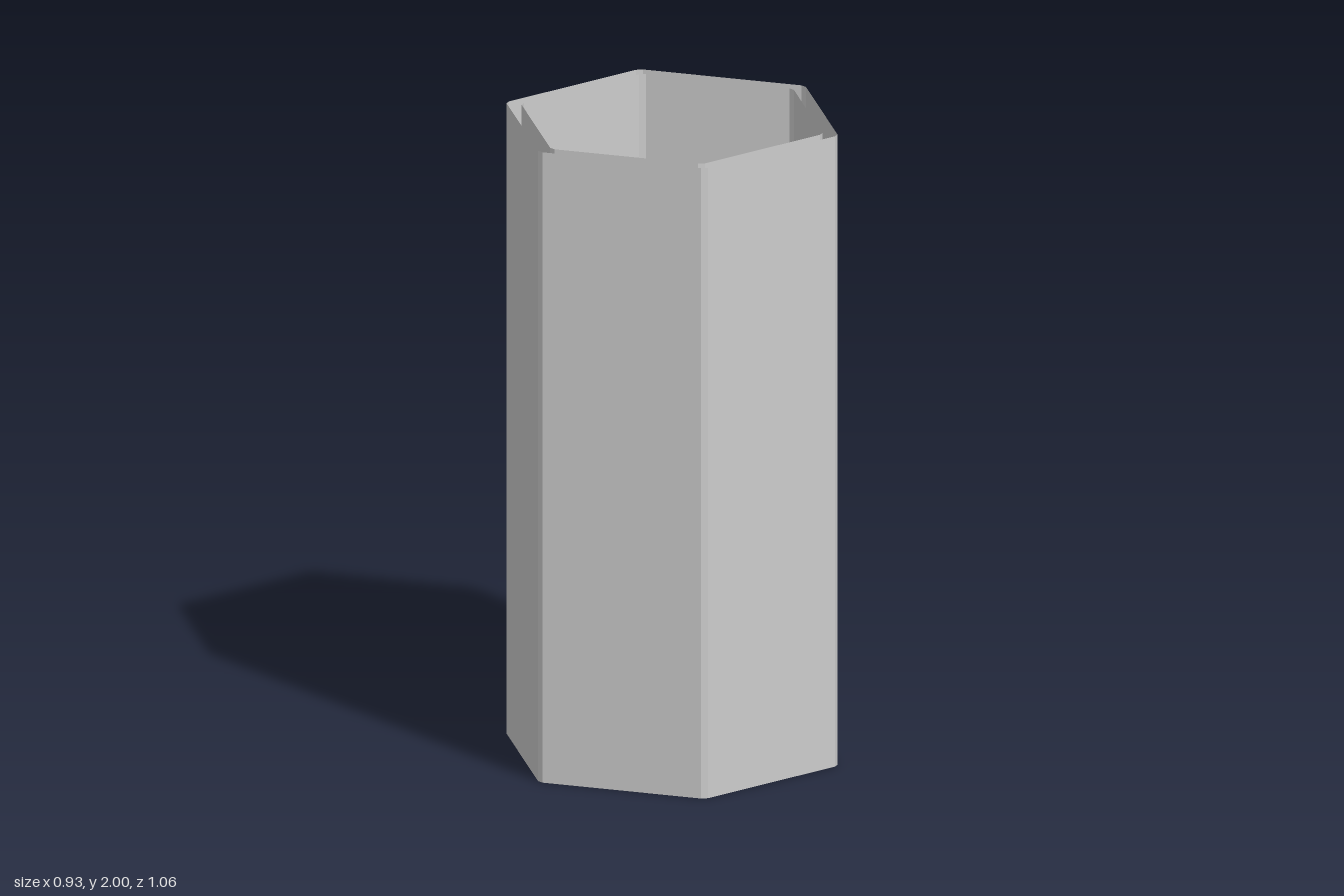
import * as THREE from 'three';

const HEIGHT = 2;

// Open six-sided tube with narrowly chamfered corners, one corner facing +z
function hexShell(apothem, chamfer) {
  const tip = apothem / Math.cos(Math.PI / 6) - chamfer / Math.tan(Math.PI / 3);
  const ring = [];
  for (let i = 0; i < 6; i++) {
    const a = (i * Math.PI) / 3;
    for (const w of [-chamfer, chamfer]) {
      ring.push([
        tip * Math.sin(a) + w * Math.cos(a),
        tip * Math.cos(a) - w * Math.sin(a),
      ]);
    }
  }
  const positions = [];
  ring.forEach(([x0, z0], i) => {
    const [x1, z1] = ring[(i + 1) % ring.length];
    positions.push(x0, 0, z0, x1, 0, z1, x1, HEIGHT, z1);
    positions.push(x0, 0, z0, x1, HEIGHT, z1, x0, HEIGHT, z0);
  });
  const geometry = new THREE.BufferGeometry();
  geometry.setAttribute('position', new THREE.Float32BufferAttribute(positions, 3));
  geometry.computeVertexNormals();
  return geometry;
}

export function createModel() {
  const group = new THREE.Group();
  group.name = 'hexagonalTube';
  const material = new THREE.MeshStandardMaterial({
    color: 0xcccccc, flatShading: true, side: THREE.DoubleSide,
  });

  // Two concentric walls, open at both ends
  const walls = [['outerWall', 0.463, 0.0105], ['innerWall', 0.421, 0.0105]];
  for (const [name, apothem, chamfer] of walls) {
    const wall = new THREE.Mesh(hexShell(apothem, chamfer), material);
    wall.name = name;
    group.add(wall);
  }
  return group;
}
